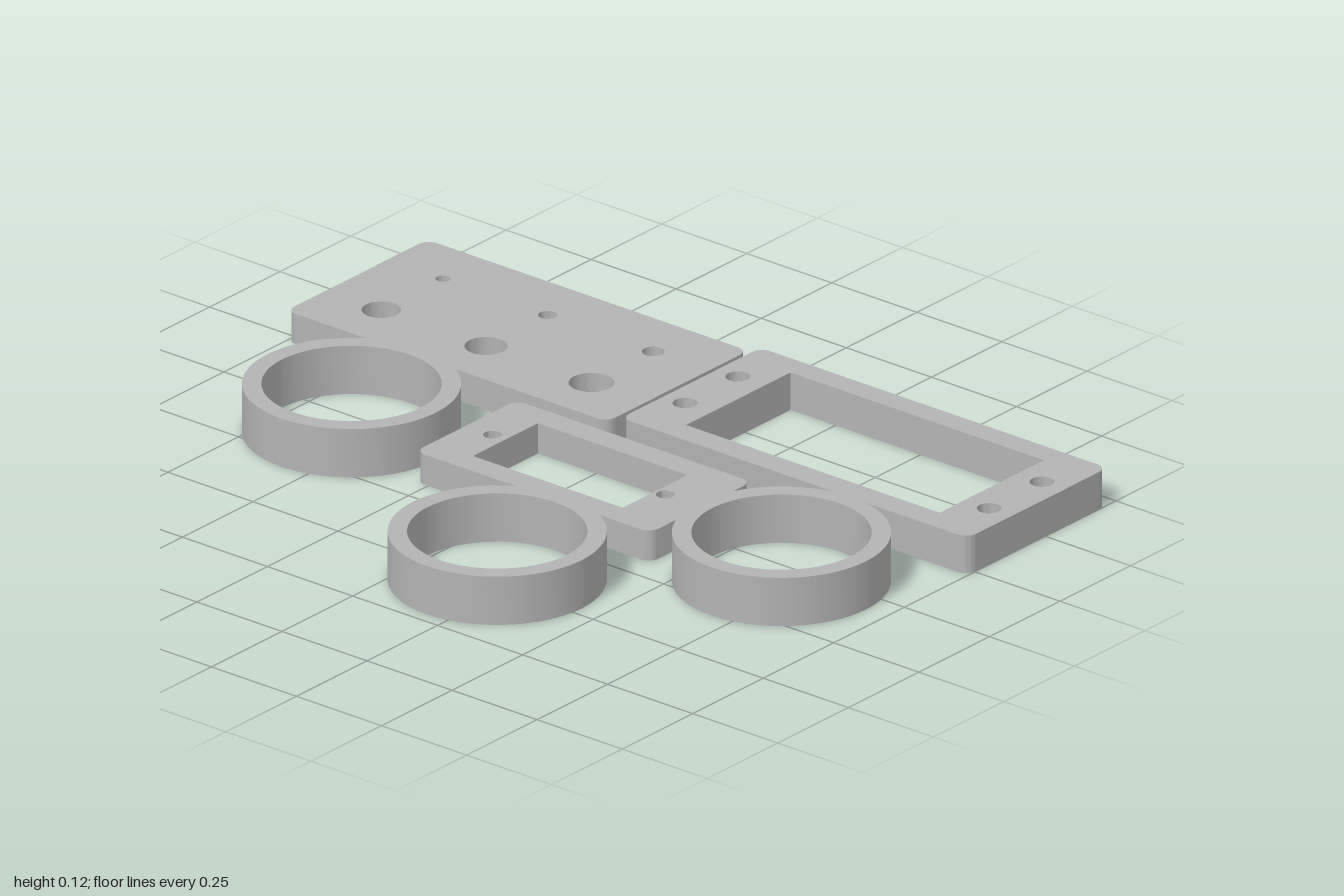
import * as THREE from 'three';
import { toCreasedNormals } from 'three/addons/utils/BufferGeometryUtils.js';

const grey = new THREE.MeshStandardMaterial({ color: 0xb3b3b3 });
grey.name = 'grey';

// Outlines are drawn in plan, with shape y = -z
function roundedRect(x0, x1, z0, z1, r) {
  const s = new THREE.Shape();
  s.absarc(x1 - r, -z0 - r, r, 0, Math.PI / 2);
  s.absarc(x0 + r, -z0 - r, r, Math.PI / 2, Math.PI);
  s.absarc(x0 + r, -z1 + r, r, Math.PI, Math.PI * 1.5);
  s.absarc(x1 - r, -z1 + r, r, Math.PI * 1.5, Math.PI * 2);
  s.closePath();
  return s;
}

function rectHole(x0, x1, z0, z1) {
  return new THREE.Path([[x0, -z0], [x0, -z1], [x1, -z1], [x1, -z0]]
    .map(([x, y]) => new THREE.Vector2(x, y)));
}

function roundHole(x, z, r) {
  return new THREE.Path().absarc(x, -z, r, 0, Math.PI * 2, true);
}

// Extrude a plan outline upward from the ground
function slab(name, shape, holes, height, curveSegments) {
  shape.holes.push(...holes);
  const geo = new THREE.ExtrudeGeometry(shape, { depth: height, bevelEnabled: false, curveSegments });
  geo.rotateX(-Math.PI / 2);
  const mesh = new THREE.Mesh(toCreasedNormals(geo, 0.6), grey);
  mesh.name = name;
  return mesh;
}

export function createModel() {
  const group = new THREE.Group();
  group.name = 'panelParts';

  // Solid plate with graded rows of small and large holes
  const plateHoles = [
    [-0.837, 0.017, 0.045], [-0.529, 0.022, 0.049], [-0.219, 0.026, 0.052],
  ].flatMap(([x, small, large]) => [roundHole(x, -0.58, small), roundHole(x, -0.361, large)]);
  group.add(slab('drilledPlate', roundedRect(-1, -0.056, -0.72, -0.22, 0.03), plateHoles, 0.075, 16));

  // Large frame with two screw holes at each end
  const largeHoles = [rectHole(0.118, 0.863, -0.66, -0.29)];
  for (const x of [0.04, 0.934])
    for (const z of [-0.567, -0.38]) largeHoles.push(roundHole(x, z, 0.028));
  group.add(slab('largeFrame', roundedRect(-0.02, 1, -0.72, -0.225, 0.03), largeHoles, 0.093, 16));

  // Small frame with one screw hole at each end
  const smallHoles = [rectHole(-0.171, 0.269, -0.113, 0.117), roundHole(-0.211, 0, 0.021), roundHole(0.297, 0, 0.021)];
  group.add(slab('smallFrame', roundedRect(-0.288, 0.404, -0.178, 0.181, 0.03), smallHoles, 0.075, 16));

  // Three identical rings
  const rings = [['rightRing', -0.571, 0.065], ['frontRing', 0.194, 0.471], ['leftRing', 0.693, 0.065]];
  for (const [name, x, z] of rings) {
    const disc = new THREE.Shape().absarc(0, 0, 0.248, 0, Math.PI * 2);
    const ring = slab(name, disc, [roundHole(0, 0, 0.204)], 0.12, 64);
    ring.position.set(x, 0, z);
    group.add(ring);
  }
  return group;
}
